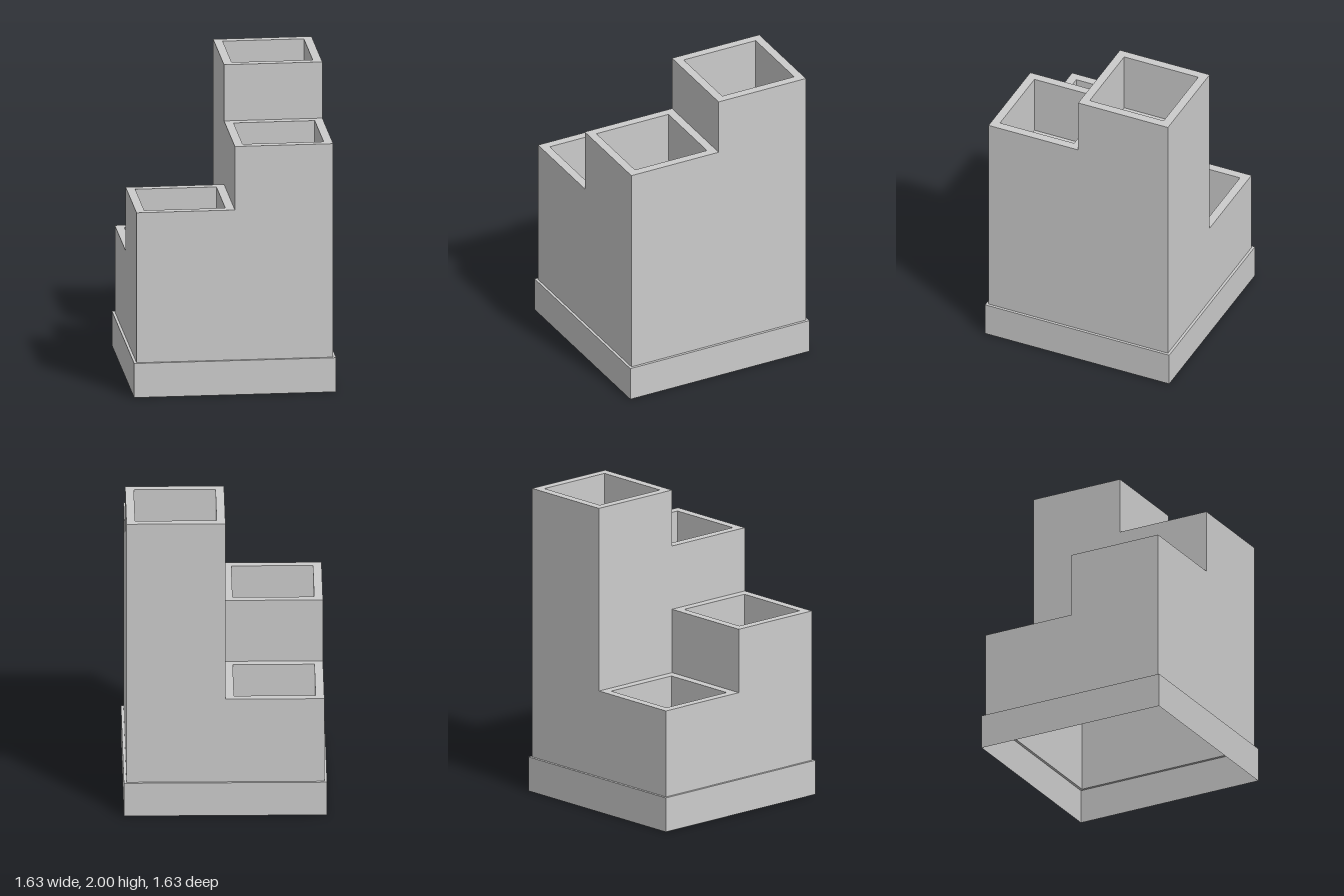
import * as THREE from 'three';

const material = new THREE.MeshStandardMaterial({ color: 0xcccccc, side: THREE.DoubleSide });

const BODY = 0.629;        // half width of the stepped body, and full width of one cell
const SKIRT = 0.646;       // half width of the base skirt
const SKIRT_TOP = 0.225;
const INSET = 0.055;       // rim width around each pocket
const POCKET_DEPTH = 0.4;

// Upright sheet on side k (0 front, 1 +x, 2 back, 3 -x) of a square with the given half width
function addWall(parent, name, k, half, y0, y1, inward = false) {
  const wall = new THREE.Mesh(new THREE.PlaneGeometry(2 * half, y1 - y0), material);
  const a = k * Math.PI / 2;
  wall.name = name;
  wall.position.set(Math.sin(a) * half, (y0 + y1) / 2, Math.cos(a) * half);
  wall.rotation.y = inward ? a + Math.PI : a;
  parent.add(wall);
}

const squarePoints = (h) => [[-h, -h], [h, -h], [h, h], [-h, h]].map(([x, y]) => new THREE.Vector2(x, y));

// Level square sheet, with an optional square opening
function addLevel(parent, name, half, y, opening = 0) {
  const shape = new THREE.Shape(squarePoints(half));
  if (opening) shape.holes.push(new THREE.Path(squarePoints(opening).reverse()));
  const level = new THREE.Mesh(new THREE.ShapeGeometry(shape), material);
  level.name = name;
  level.rotation.x = -Math.PI / 2;
  level.position.y = y;
  parent.add(level);
}

export function createModel() {
  const model = new THREE.Group();
  model.name = 'steppedOrganizer';
  model.rotation.y = Math.atan(1 / 3);

  // Open-bottomed skirt with a narrow ledge
  const skirt = new THREE.Group();
  skirt.name = 'baseSkirt';
  for (let k = 0; k < 4; k++) addWall(skirt, 'skirtWall', k, SKIRT, 0, SKIRT_TOP);
  addLevel(skirt, 'skirtLedge', SKIRT, SKIRT_TOP, BODY);
  model.add(skirt);

  // Four cells rising in steps, keyed by the signs of x and z
  const cells = [
    { name: 'backLowCell', x: -1, z: -1, top: 0.793 },
    { name: 'frontMiddleCell', x: -1, z: 1, top: 1.212 },
    { name: 'frontHighCell', x: 1, z: 1, top: 1.63 },
    { name: 'backTallCell', x: 1, z: -1, top: 2 },
  ];
  const topAt = (x, z) => cells.find((c) => c.x === x && c.z === z).top;

  for (const { name, x, z, top } of cells) {
    const cell = new THREE.Group();
    cell.name = name;
    cell.position.set(x * BODY / 2, 0, z * BODY / 2);
    const half = BODY / 2, inner = half - INSET, floor = top - POCKET_DEPTH;

    for (let k = 0; k < 4; k++) {
      // Outer sides reach the skirt; inner sides stop at the neighbouring rim
      const nx = [0, 1, 0, -1][k], nz = [1, 0, -1, 0][k];
      const outside = nx * x + nz * z > 0;
      const bottom = outside ? SKIRT_TOP : topAt(nx ? -x : x, nz ? -z : z);
      if (bottom < top) addWall(cell, 'cellWall', k, half, bottom, top);
      addWall(cell, 'pocketWall', k, inner, floor, top, true);
    }
    addLevel(cell, 'rim', half, top, inner);
    addLevel(cell, 'pocketFloor', inner, floor);
    model.add(cell);
  }

  const root = new THREE.Group();
  root.add(model);
  return root;
}
